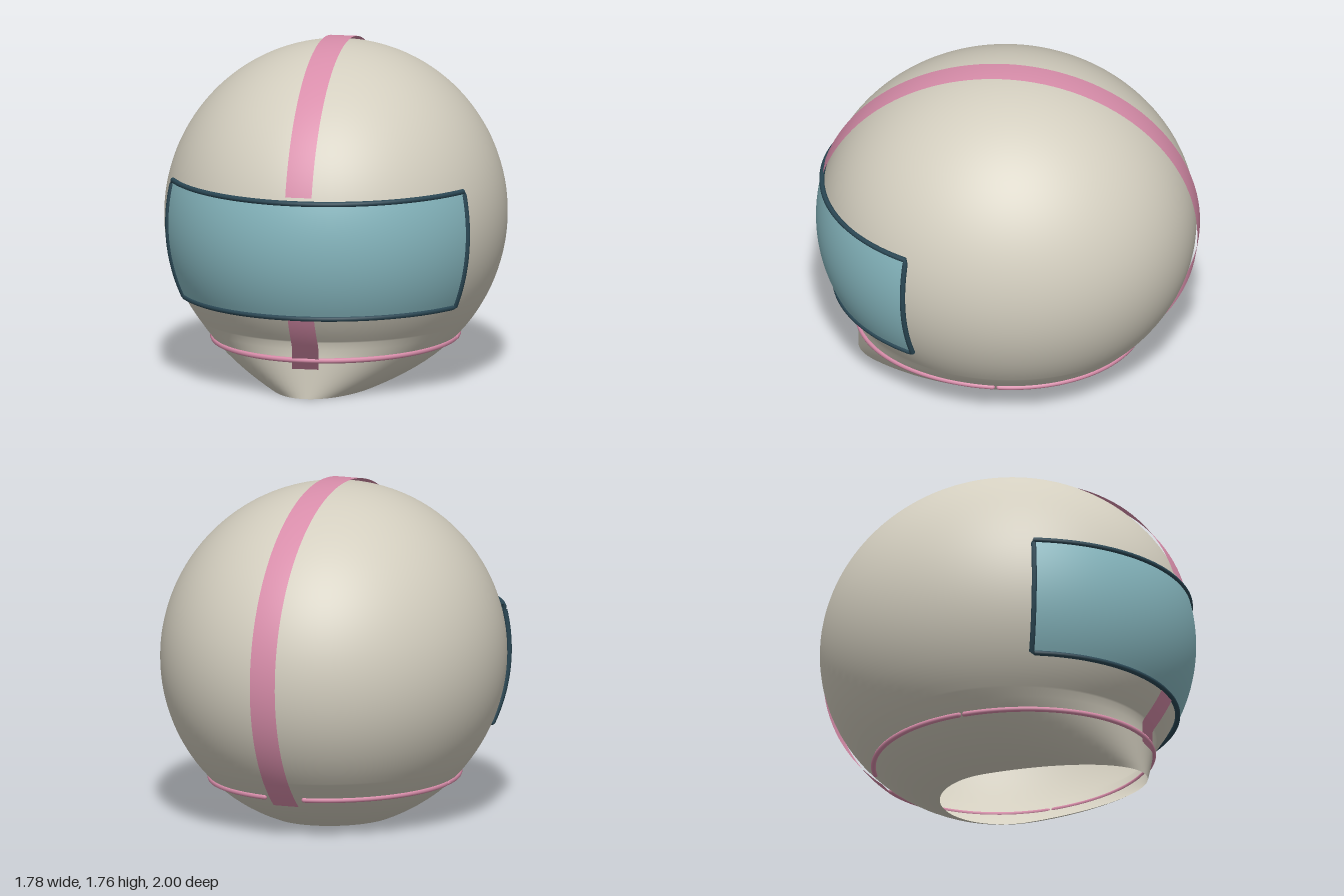
import * as THREE from 'three';

const shellMat = new THREE.MeshStandardMaterial({ name: 'warm grey shell', color: 0xd3cebf, side: THREE.DoubleSide });
const visorMat = new THREE.MeshStandardMaterial({ name: 'teal visor', color: 0x87b8c0, side: THREE.DoubleSide });
const frameMat = new THREE.MeshStandardMaterial({ name: 'dark blue frame', color: 0x2b4855 });
const pinkMat = new THREE.MeshStandardMaterial({ name: 'pink trim', color: 0xd88daa, side: THREE.DoubleSide });

// Ellipsoid radii, centre height, and the upright chin front
const A = 0.89, B = 0.905, C = 0.845, D = 0.985;
const CHIN_Y = 0.305, CHIN_Z = 0.78;
const RAD = Math.PI / 180;

// Point at height y and azimuth t (0 = front, 90 degrees = model's left), on the shell scaled by s
function shellPoint(t, y, s = 1) {
  const k = (y - C) / (B * s);
  const r = Math.sqrt(Math.max(0, 1 - k * k)) * s;
  let depth = D * r;
  if (y < CHIN_Y && Math.cos(t) > 0) depth = Math.max(depth, CHIN_Z + (s - 1) * 0.5);
  return new THREE.Vector3(A * r * Math.sin(t), y, depth * Math.cos(t));
}

// Heights between y0 and y1, evenly spaced by angle over the ellipsoid
function heights(y0, y1, n) {
  const angle = (y) => Math.acos(THREE.MathUtils.clamp((y - C) / B, -1, 1));
  const a = angle(y0), b = angle(y1);
  return Array.from({ length: n + 1 }, (_, i) => C + B * Math.cos(a + (b - a) * i / n));
}

// Surface from a grid of points; keep(i, j) decides which cells are built
function gridSurface(rows, cols, point, wrap = false, keep = () => true) {
  const pos = [], idx = [];
  const stride = wrap ? cols : cols + 1;
  for (let i = 0; i <= rows; i++)
    for (let j = 0; j < stride; j++) pos.push(...point(i, j).toArray());
  for (let i = 0; i < rows; i++) {
    for (let j = 0; j < cols; j++) {
      if (!keep(i, j)) continue;
      const k = wrap ? (j + 1) % cols : j + 1;
      const a = i * stride + j, b = a + stride, c = i * stride + k, d = c + stride;
      idx.push(a, b, c, c, b, d);
    }
  }
  const geo = new THREE.BufferGeometry();
  geo.setAttribute('position', new THREE.Float32BufferAttribute(pos, 3));
  geo.setIndex(idx);
  geo.computeVertexNormals();
  return geo;
}

function add(parent, name, geo, mat) {
  const mesh = new THREE.Mesh(geo, mat);
  mesh.name = name;
  parent.add(mesh);
  return mesh;
}

// Shell, open below and behind the visor
function buildShell(group) {
  const top = 1.05, bottom = 0.47, half = 60 * RAD, cols = 96;
  const ys = [
    ...heights(C + B, top, 26),
    ...heights(top, bottom, 14).slice(1),
    ...heights(bottom, CHIN_Y + 0.004, 5).slice(1),
    ...heights(CHIN_Y - 0.004, 0, 10),
  ];
  ys[ys.length - 1] = 0;
  const angle = (j) => -Math.PI + 2 * Math.PI * j / cols;
  const keep = (i, j) => {
    const y = (ys[i] + ys[i + 1]) / 2;
    return !(y < top && y > bottom && Math.abs(angle(j + 0.5)) < half);
  };
  const geo = gridSurface(ys.length - 1, cols, (i, j) => shellPoint(angle(j), ys[i]), true, keep);
  add(group, 'shell', geo, shellMat);
}

// Visor and the round frame along its edge
function buildVisor(group) {
  const visor = new THREE.Group();
  visor.name = 'visor';
  const top = 1.07, bottom = 0.45, half = 62 * RAD, s = 1.014;
  const ys = heights(top, bottom, 16);
  const glass = gridSurface(16, 48, (i, j) => shellPoint(half * (j / 24 - 1), ys[i], s));
  add(visor, 'visorPanel', glass, visorMat);

  const path = new THREE.CurvePath();
  const edge = (fn, n) => {
    for (let i = 0; i < n; i++) path.add(new THREE.LineCurve3(fn(i / n), fn((i + 1) / n)));
  };
  edge((u) => shellPoint(half * (2 * u - 1), top, s), 48);
  edge((u) => shellPoint(half, top + (bottom - top) * u, s), 16);
  edge((u) => shellPoint(half * (1 - 2 * u), bottom, s), 48);
  edge((u) => shellPoint(-half, bottom + (top - bottom) * u, s), 16);
  add(visor, 'visorFrame', new THREE.TubeGeometry(path, 240, 0.014, 8, true), frameMat);
  group.add(visor);
}

// Centre stripe over the crown, from angle a to b (0 = front, 90 = top, 180 = back)
function stripe(group, name, a, b, n) {
  const s = 1.015, w = 0.07;
  const geo = gridSurface(n, 4, (i, j) => {
    const t = a + (b - a) * i / n;
    const x = w * (j / 2 - 1);
    const y = C + B * s * Math.sin(t);
    let z = D * s * Math.cos(t);
    if (y < CHIN_Y && z > 0) z = Math.max(z, CHIN_Z + 0.008);
    return new THREE.Vector3(x, y, z);
  });
  // Shade it like the rounded shell beneath
  const p = geo.attributes.position, v = new THREE.Vector3();
  for (let i = 0; i < p.count; i++) {
    v.set(p.getX(i) / (A * A), (p.getY(i) - C) / (B * B), p.getZ(i) / (D * D)).normalize();
    geo.attributes.normal.setXYZ(i, v.x, v.y, v.z);
  }
  // Rows run upward, so turn the faces outward
  if (b > a) {
    const ix = geo.index.array;
    for (let i = 0; i < ix.length; i += 3) [ix[i + 1], ix[i + 2]] = [ix[i + 2], ix[i + 1]];
  }
  add(group, name, geo, pinkMat);
}

// Thin trim bead around the lower edge
function trim(group, name, a, b) {
  const pts = Array.from({ length: 25 }, (_, i) => shellPoint((a + (b - a) * i / 24) * RAD, 0.205, 1.004));
  const bead = new THREE.Group();
  bead.name = name;
  const curve = new THREE.CatmullRomCurve3(pts);
  add(bead, 'trimBead', new THREE.TubeGeometry(curve, 64, 0.014, 8), pinkMat);
  for (const p of [pts[0], pts[24]])
    add(bead, 'trimEnd', new THREE.SphereGeometry(0.0135, 8, 6), pinkMat).position.copy(p);
  group.add(bead);
}

export function createModel() {
  const group = new THREE.Group();
  group.name = 'helmet';
  buildShell(group);
  buildVisor(group);

  const at = (y) => Math.asin((y - C) / (B * 1.015));
  stripe(group, 'crownStripe', at(1.1), Math.PI - at(0.16), 72);
  stripe(group, 'chinStripe', at(0.16), at(0.44), 16);

  trim(group, 'frontTrim', -89, 89);
  trim(group, 'backLeftTrim', 91.5, 170);
  trim(group, 'backRightTrim', -170, -91.5);
  return group;
}
